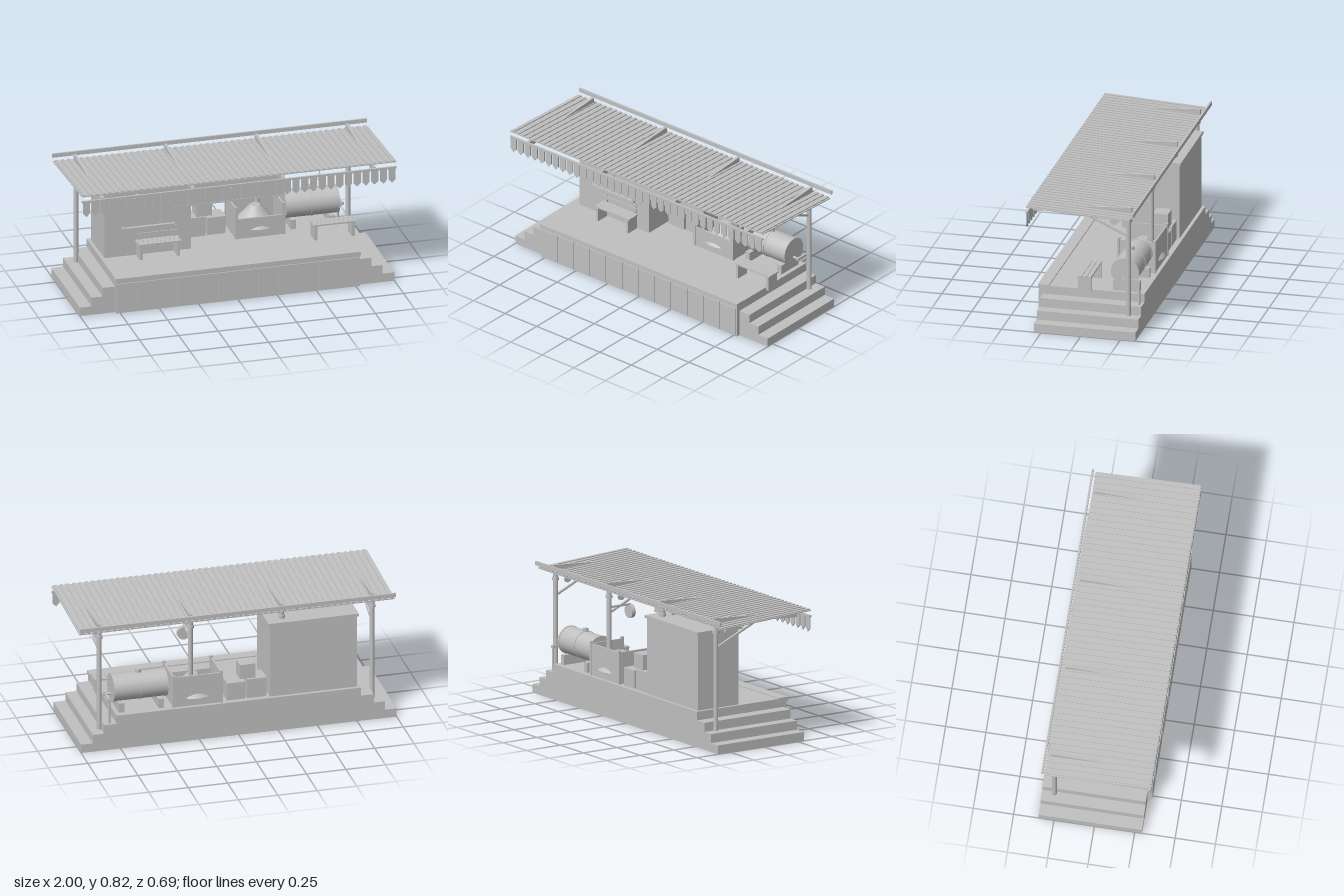
import * as THREE from 'three';

const grey = new THREE.MeshStandardMaterial({ color: 0xc0c0c0 });
grey.name = 'plain grey';

export function createModel() {
  const root = new THREE.Group();
  root.name = 'stationPlatform';

  const add = (name, geo, x = 0, y = 0, z = 0) => {
    const m = new THREE.Mesh(geo, grey);
    m.name = name;
    m.position.set(x, y, z);
    root.add(m);
    return m;
  };
  // Box given by its limits on each axis
  const box = (name, x0, x1, y0, y1, z0, z1) =>
    add(name, new THREE.BoxGeometry(x1 - x0, y1 - y0, z1 - z0), (x0 + x1) / 2, (y0 + y1) / 2, (z0 + z1) / 2);
  // Upright round part from y0 to y1
  const round = (name, x, z, y0, y1, r0, r1 = r0, sides = 16) =>
    add(name, new THREE.CylinderGeometry(r1, r0, y1 - y0, sides), x, (y0 + y1) / 2, z);
  // Bar in the y-z plane between two points
  const bar = (name, x, w, h, ya, za, yb, zb) => {
    const m = add(name, new THREE.BoxGeometry(w, h, Math.hypot(yb - ya, zb - za)), x, (ya + yb) / 2, (za + zb) / 2);
    m.rotation.x = Math.atan2(ya - yb, zb - za);
    return m;
  };

  // Platform, front edge and skirting panels
  box('platform', -0.775, 0.775, 0, 0.224, -0.345, 0.317);
  box('deckEdge', -0.78, 0.78, 0.205, 0.231, 0.255, 0.325);
  for (let i = 0; i < 12; i++) {
    const x = -0.77 + i * 0.1285;
    box('skirtPanel', x, x + 0.1245, 0.006, 0.195, 0.317, 0.324);
  }

  // Steps at both ends
  for (const s of [-1, 1]) {
    [[1, 0.056], [0.925, 0.113], [0.855, 0.17]].forEach(([far, top], i) => {
      const a = s * 0.77, b = s * far;
      box('step', Math.min(a, b), Math.max(a, b), i ? top - 0.057 : 0, top, -0.345, 0.295);
    });
  }

  // Posts with rafters, braces and bracket discs
  for (const x of [-0.865, -0.29, 0.287, 0.865]) {
    round('post', x, -0.268, Math.abs(x) > 0.5 ? 0.113 : 0.22, 0.785, 0.0155);
    round('postCollar', x, -0.268, 0.725, 0.743, 0.022);
    bar('rafter', x, 0.018, 0.036, 0.804, -0.29, 0.767, 0.33);
    bar('brace', x, 0.014, 0.012, 0.635, -0.255, 0.762, 0.025);
    for (const [y, z, r] of [[0.723, -0.178, 0.025], [0.75, -0.101, 0.019], [0.77, -0.024, 0.011]])
      add('bracketDisc', new THREE.CylinderGeometry(r, r, 0.01, 20), x, y, z).rotation.z = Math.PI / 2;
  }

  // Ribbed roof and rear board
  const ya = 0.779, za = -0.306, yb = 0.813, zb = 0.345;
  bar('roofSheet', 0, 2, 0.006, ya, za, yb, zb);
  for (let i = 0; i < 50; i++) bar('roofRib', -0.98 + i * 0.04, 0.02, 0.006, ya + 0.006, za, yb + 0.006, zb);
  box('rearBoard', -1, 1, 0.8, 0.825, -0.329, -0.317);

  // Front valance of pointed slats
  box('valanceRail', -1, 1, 0.77, 0.783, 0.335, 0.348);
  const slat = new THREE.Shape([[-0.022, 0.775], [-0.022, 0.7], [0, 0.677], [0.022, 0.7], [0.022, 0.775]]
    .map(([x, y]) => new THREE.Vector2(x, y)));
  const slatGeo = new THREE.ExtrudeGeometry(slat, { depth: 0.006, bevelEnabled: false });
  for (let i = 0; i < 36; i++) add('valanceSlat', slatGeo, -0.972 + i * 0.05554, 0, 0.341);

  // Hanging board
  box('hangingBoard', -0.35, 0.35, 0.582, 0.722, 0.113, 0.126);
  box('boardTrim', -0.36, 0.355, 0.575, 0.585, 0.11, 0.129);
  box('boardTrim', -0.36, 0.355, 0.716, 0.727, 0.11, 0.129);
  for (const x of [-0.28, 0.28]) round('boardHanger', x, 0.116, 0.72, 0.775, 0.004, 0.004, 8);

  // Lamps
  for (const x of [-0.58, 0, 0.577]) {
    round('lampRod', x, 0.11, 0.685, 0.775, 0.004, 0.004, 8);
    round('lampShade', x, 0.11, 0.663, 0.687, 0.025, 0.008);
    round('lampBulb', x, 0.11, 0.646, 0.664, 0.013);
  }

  // Booth with window, shelf and notice
  box('booth', -0.754, -0.203, 0.224, 0.702, -0.324, -0.024);
  box('boothRoof', -0.765, -0.192, 0.7, 0.718, -0.333, -0.013);
  for (let i = 0; i < 4; i++) {
    const x = -0.632 + i * 0.079;
    box('windowPane', x, x + 0.075, 0.415, 0.605, -0.025, -0.02);
  }
  box('windowShelf', -0.645, -0.31, 0.402, 0.415, -0.025, 0);
  box('notice', -0.34, -0.23, 0.635, 0.685, -0.025, -0.018);

  // Benches, one with a back rest
  for (const x of [-0.56, 0.55]) {
    for (const lx of [x + 0.008, x + 0.246]) box('benchLeg', lx, lx + 0.018, 0.224, 0.316, -0.022, 0.064);
    for (let i = 0; i < 3; i++) box('benchSlat', x, x + 0.272, 0.315, 0.325, -0.021 + i * 0.0295, 0.006 + i * 0.0295);
  }
  for (const y of [0.35, 0.38]) box('benchBack', -0.56, -0.288, y, y + 0.02, -0.013, -0.007);
  for (const x of [-0.54, -0.315]) box('benchBackPost', x, x + 0.012, 0.31, 0.4, -0.024, -0.013);

  // Crates
  box('crate', -0.185, -0.062, 0.224, 0.35, -0.31, -0.19);
  box('crate', -0.05, 0.065, 0.224, 0.338, -0.31, -0.195);
  box('crate', -0.118, -0.02, 0.35, 0.445, -0.295, -0.2);

  // Open bin with a heap inside
  box('binFront', 0.1, 0.41, 0.224, 0.353, -0.097, -0.086);
  box('binBack', 0.1, 0.41, 0.224, 0.423, -0.322, -0.312);
  for (const x of [0.1, 0.4]) {
    box('binSide', x, x + 0.01, 0.224, 0.423, -0.318, -0.09);
    for (const z of [-0.327, -0.1]) box('binPost', x - 0.004, x + 0.014, 0.224, 0.435, z, z + 0.017);
  }
  round('heap', 0.257, -0.207, 0.275, 0.39, 0.137, 0.032, 24);

  // Tank with rims, cap and cradles
  const along = (name, r, x0, x1, y, z) => {
    const m = add(name, new THREE.CylinderGeometry(r, r, x1 - x0, 32), (x0 + x1) / 2, y, z);
    m.rotation.z = Math.PI / 2;
  };
  along('tank', 0.086, 0.437, 0.779, 0.361, -0.224);
  for (const x of [0.437, 0.6, 0.767]) along('tankBand', 0.089, x, x + 0.012, 0.361, -0.224);
  round('tankCap', 0.606, -0.224, 0.44, 0.467, 0.018);
  for (const x of [0.465, 0.715]) box('tankCradle', x, x + 0.034, 0.224, 0.285, -0.308, -0.14);

  // Outlet pipe
  along('pipeStub', 0.008, 0.77, 0.815, 0.322, -0.224);
  bar('pipeRun', 0.815, 0.013, 0.013, 0.322, -0.216, 0.322, -0.33);
  round('pipeDrop', 0.815, -0.322, 0.168, 0.33, 0.0075);
  for (const z of [-0.222, -0.323]) box('pipeFlange', 0.805, 0.825, 0.312, 0.332, z - 0.006, z + 0.006);

  // Clock on an arm
  add('clock', new THREE.CylinderGeometry(0.043, 0.043, 0.025, 28), 0.287, 0.622, -0.112).rotation.x = Math.PI / 2;
  box('clockArm', 0.281, 0.293, 0.659, 0.671, -0.26, -0.112);

  return root;
}
